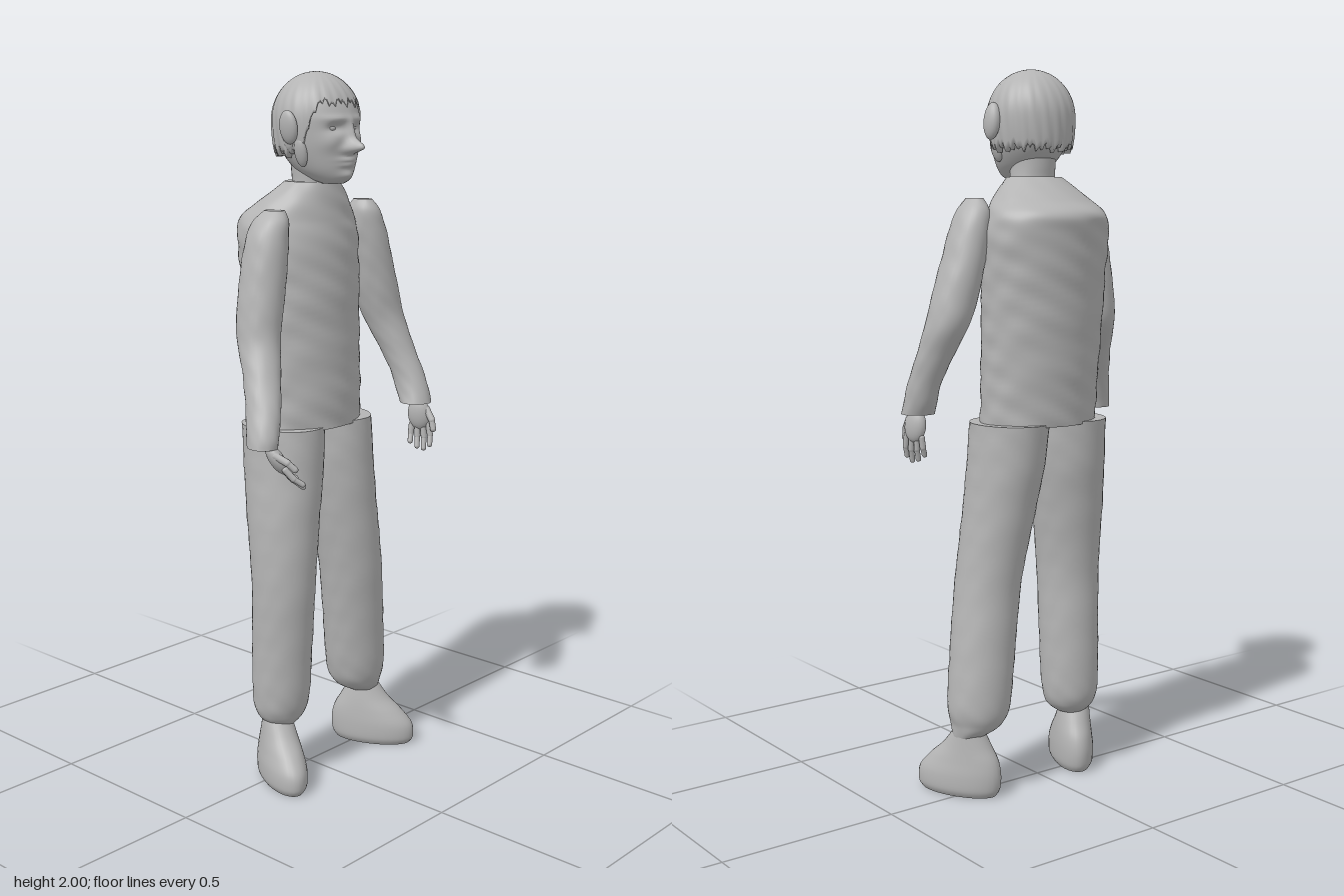
import * as THREE from 'three';

const clay = new THREE.MeshStandardMaterial({ color: 0xb4b4b4 });
clay.name = 'plain grey';
const clayOpen = new THREE.MeshStandardMaterial({ color: 0xb4b4b4, side: THREE.DoubleSide });
clayOpen.name = 'plain grey';

// Smooth blend through cross-sections [y, xMin, xMax, zMin, zMax]
function sectionAt(rows, t) {
  const i = Math.min(Math.floor(t), rows.length - 2), f = t - i;
  const row = (k) => rows[Math.max(0, Math.min(rows.length - 1, k))];
  return rows[i].map((b, c) => {
    const a = row(i - 1)[c], d = row(i + 1)[c], e = row(i + 2)[c];
    return b + 0.5 * f * (d - a + f * (2 * a - 5 * b + 4 * d - e + f * (3 * (b - d) + e - a)));
  });
}

// Closed body of horizontal oval rings, bottom to top; warp(p) may move each point
function loft(name, rows, { seg = 32, steps = 6, warp = null, yaw = 0 } = {}) {
  const pos = [], idx = [], p = new THREE.Vector3();
  const count = (rows.length - 1) * steps + 1;
  const addRing = (t) => {
    const [y, x0, x1, z0, z1] = sectionAt(rows, t);
    for (let j = 0; j < seg; j++) {
      const a = (j / seg) * Math.PI * 2;
      p.set((x1 - x0) / 2 * Math.sin(a), y, (z1 - z0) / 2 * Math.cos(a));
      if (yaw) p.applyAxisAngle(THREE.Object3D.DEFAULT_UP, yaw);
      p.x += (x0 + x1) / 2;
      p.z += (z0 + z1) / 2;
      if (warp) warp(p, a);
      pos.push(p.x, p.y, p.z);
    }
  };
  for (let i = 0; i < count; i++) addRing(i / steps);
  for (let i = 0; i < count - 1; i++) for (let j = 0; j < seg; j++) {
    const a = i * seg + j, b = i * seg + (j + 1) % seg;
    idx.push(a, b, b + seg, a, b + seg, a + seg);
  }
  // Flat end caps with their own rings
  for (const top of [false, true]) {
    const r = pos.length / 3;
    addRing(top ? rows.length - 1 : 0);
    const s = rows[top ? rows.length - 1 : 0];
    pos.push((s[1] + s[2]) / 2, s[0], (s[3] + s[4]) / 2);
    for (let j = 0; j < seg; j++) {
      const a = r + j, b = r + (j + 1) % seg;
      idx.push(r + seg, top ? a : b, top ? b : a);
    }
  }
  return finish(name, pos, idx, clay);
}

function finish(name, pos, idx, material) {
  const g = new THREE.BufferGeometry();
  g.setAttribute('position', new THREE.Float32BufferAttribute(pos, 3));
  g.setIndex(idx);
  g.computeVertexNormals();
  const m = new THREE.Mesh(g, material);
  m.name = name;
  return m;
}

function ball(name, center, size, tilt = [0, 0, 0]) {
  const m = new THREE.Mesh(new THREE.SphereGeometry(1, 20, 14), clay);
  m.name = name;
  m.position.set(...center);
  m.scale.set(...size);
  m.rotation.set(...tilt);
  return m;
}

// Finger through a few points
function finger(points, r) {
  const g = new THREE.Group();
  g.name = 'finger';
  const v = points.map((q) => new THREE.Vector3(...q));
  for (let i = 0; i < v.length - 1; i++) {
    const d = v[i + 1].clone().sub(v[i]);
    const m = new THREE.Mesh(new THREE.CapsuleGeometry(r * (1 - 0.12 * i), d.length(), 4, 10), clay);
    m.position.copy(v[i]).addScaledVector(d, 0.5);
    m.quaternion.setFromUnitVectors(THREE.Object3D.DEFAULT_UP, d.normalize());
    m.name = 'fingerJoint';
    g.add(m);
  }
  return g;
}

// Hand hanging from the wrist; side is +1 for the left, -1 for the right
function hand(name, wrist, side, turn) {
  const g = new THREE.Group();
  g.name = name;
  g.add(ball('palm', [0, -0.045, 0], [0.02, 0.047, 0.034]));
  for (let i = 0; i < 4; i++) {
    const z = 0.026 - i * 0.017, len = [0.055, 0.066, 0.06, 0.045][i];
    g.add(finger([[0, -0.075, z], [-side * 0.005, -0.08 - len * 0.5, z * 1.15],
      [-side * 0.016, -0.078 - len, z * 1.15]], 0.0088));
  }
  g.add(finger([[0, -0.03, 0.024], [-side * 0.014, -0.06, 0.042], [-side * 0.02, -0.085, 0.046]], 0.01));
  g.position.set(...wrist);
  g.rotation.set(...turn);
  return g;
}

// Shallow creases in cloth
const creases = (amount) => (p, a) => {
  const w = Math.sin(p.y * 62 + 3 * Math.sin(a * 2)) * Math.sin(a * 5 + p.y * 17)
    + 0.6 * Math.sin(p.y * 95 + a * 7);
  p.x += amount * w * Math.sin(a);
  p.z += amount * w * Math.cos(a);
};

// Face relief: [x, y, width, height, depth]
const relief = [
  [0, 1.806, 0.015, 0.017, 0.042], [0, 1.84, 0.011, 0.03, 0.016], [0, 1.797, 0.026, 0.01, 0.012],
  [-0.04, 1.852, 0.022, 0.013, -0.014], [0.04, 1.852, 0.022, 0.013, -0.014],
  [-0.04, 1.877, 0.032, 0.009, 0.006], [0.04, 1.877, 0.032, 0.009, 0.006],
  [0, 1.77, 0.028, 0.006, 0.011], [0, 1.757, 0.024, 0.006, 0.01], [0, 1.727, 0.026, 0.013, 0.01],
  [-0.058, 1.815, 0.022, 0.022, 0.007], [0.058, 1.815, 0.022, 0.022, 0.007],
];
function faceWarp(p, a) {
  if (Math.cos(a) <= 0.1) return;
  for (const [x, y, w, h, d] of relief) p.z += d * Math.exp(-(((p.x - x) / w) ** 2) - ((p.y - y) / h) ** 2);
}

// Hair shell with a ragged hairline, high over the face and low at the sides and back
function hairShell() {
  const pos = [], idx = [], seg = 120, rings = 26;
  for (let i = 0; i <= rings; i++) for (let j = 0; j < seg; j++) {
    const a = (j / seg) * Math.PI * 2, away = Math.min(a, Math.PI * 2 - a);
    const rag = 0.008 * Math.sin(j * 2.1) + 0.006 * Math.sin(j * 0.83);
    const edge = 1.918 + rag - 0.13 * THREE.MathUtils.smoothstep(away, 0.75, 1.25);
    const t = Math.min(i / (rings - 1), 1);
    const y = 2.0 - (2.0 - edge) * t * t;
    const k = (y - 1.872) / 0.128;
    let r = Math.sqrt(Math.max(0, 1 - (k > 0 ? k * k : 0.3 * k * k)));
    r *= 1 + 0.012 * Math.sin(a * 23 + y * 30) * t;
    if (i === rings) r *= 0.84;
    pos.push(0.003 + 0.122 * r * Math.sin(a), y, 0.025 + 0.121 * r * Math.cos(a));
  }
  for (let i = 0; i < rings; i++) for (let j = 0; j < seg; j++) {
    const a = i * seg + j, b = i * seg + (j + 1) % seg;
    idx.push(a, a + seg, b + seg, a, b + seg, b);
  }
  return finish('hair', pos, idx, clayOpen);
}

export function createModel() {
  const model = new THREE.Group();
  model.name = 'standingFigure';

  // Torso with a sloped yoke
  model.add(loft('torso', [
    [1.035, -0.17, 0.186, -0.14, 0.112], [1.15, -0.172, 0.186, -0.15, 0.113],
    [1.3, -0.178, 0.188, -0.163, 0.11], [1.45, -0.182, 0.192, -0.178, 0.108],
    [1.56, -0.182, 0.195, -0.192, 0.1], [1.61, -0.168, 0.182, -0.192, 0.092],
    [1.645, -0.142, 0.158, -0.145, 0.086], [1.68, -0.108, 0.122, -0.1, 0.08],
    [1.71, -0.075, 0.085, -0.062, 0.075],
  ], { seg: 64, steps: 10, warp: creases(0.0017) }));

  // Trouser legs
  const leg = { seg: 40, steps: 8, warp: creases(0.0008) };
  model.add(loft('rightLeg', [
    [0.17, -0.17, -0.085, -0.04, 0.05], [0.2, -0.195, -0.05, -0.065, 0.07],
    [0.26, -0.206, -0.038, -0.077, 0.085], [0.42, -0.21, -0.036, -0.076, 0.097],
    [0.6, -0.214, -0.034, -0.075, 0.11], [0.78, -0.212, -0.014, -0.1, 0.113],
    [0.92, -0.202, 0.006, -0.125, 0.114], [1.042, -0.195, 0.014, -0.14, 0.112],
  ], leg));
  model.add(loft('leftLeg', [
    [0.17, 0.185, 0.285, -0.04, 0.05], [0.2, 0.14, 0.288, -0.07, 0.07],
    [0.26, 0.115, 0.297, -0.085, 0.085], [0.42, 0.092, 0.28, -0.08, 0.097],
    [0.6, 0.066, 0.255, -0.077, 0.11], [0.78, 0.034, 0.232, -0.1, 0.113],
    [0.92, 0.014, 0.219, -0.125, 0.114], [1.042, 0.006, 0.211, -0.14, 0.112],
  ], leg));

  // Shoes, toes turned out
  const shoe = (name, x, side) => loft(name, [
    [0, x + side * 0.012 - 0.05, x + side * 0.012 + 0.05, -0.08, 0.15],
    [0.02, x + side * 0.012 - 0.06, x + side * 0.012 + 0.06, -0.092, 0.162],
    [0.06, x + side * 0.01 - 0.061, x + side * 0.01 + 0.061, -0.095, 0.158],
    [0.1, x + side * 0.004 - 0.056, x + side * 0.004 + 0.056, -0.085, 0.126],
    [0.14, x - 0.05, x + 0.05, -0.062, 0.082], [0.19, x - 0.042, x + 0.042, -0.036, 0.042],
  ], { yaw: side * 0.45 });
  model.add(shoe('rightShoe', -0.14, -1), shoe('leftShoe', 0.24, 1));

  // Sleeves, bent forward at the elbow
  const sleeve = { seg: 32, steps: 8, warp: creases(0.0008) };
  model.add(loft('rightArm', [
    [1.038, -0.366, -0.288, 0.095, 0.18], [1.07, -0.36, -0.28, 0.085, 0.178],
    [1.14, -0.338, -0.25, 0.058, 0.158], [1.22, -0.312, -0.212, 0.02, 0.125],
    [1.3, -0.292, -0.18, -0.025, 0.098], [1.38, -0.282, -0.16, -0.037, 0.092],
    [1.48, -0.264, -0.143, -0.04, 0.09], [1.56, -0.246, -0.136, -0.036, 0.086],
    [1.61, -0.222, -0.134, -0.025, 0.08], [1.64, -0.19, -0.142, 0.0, 0.06],
  ], sleeve));
  model.add(loft('leftArm', [
    [1.065, 0.26, 0.354, 0.095, 0.185], [1.1, 0.266, 0.354, 0.075, 0.175],
    [1.16, 0.264, 0.352, 0.05, 0.152], [1.23, 0.248, 0.348, 0.015, 0.122],
    [1.31, 0.222, 0.34, -0.025, 0.098], [1.39, 0.196, 0.322, -0.037, 0.092],
    [1.49, 0.174, 0.29, -0.04, 0.09], [1.57, 0.16, 0.263, -0.036, 0.086],
    [1.62, 0.158, 0.238, -0.025, 0.08], [1.652, 0.172, 0.212, 0.0, 0.06],
  ], sleeve));

  // Hands
  model.add(hand('rightHand', [-0.322, 1.045, 0.15], -1, [-0.12, -0.6, 0.5]));
  model.add(hand('leftHand', [0.305, 1.075, 0.15], 1, [-0.08, 0.35, 0.1]));

  // Neck and head
  model.add(loft('neck', [
    [1.65, -0.068, 0.078, -0.05, 0.073], [1.7, -0.06, 0.07, -0.042, 0.075],
    [1.74, -0.06, 0.066, -0.045, 0.08], [1.79, -0.062, 0.066, -0.05, 0.08],
  ]));
  model.add(loft('head', [
    [1.706, -0.03, 0.032, 0.06, 0.118], [1.718, -0.05, 0.052, 0.02, 0.134],
    [1.745, -0.074, 0.076, -0.03, 0.144], [1.79, -0.094, 0.098, -0.07, 0.148],
    [1.84, -0.104, 0.108, -0.086, 0.15], [1.89, -0.107, 0.111, -0.088, 0.146],
    [1.94, -0.096, 0.1, -0.07, 0.122], [1.98, -0.05, 0.054, -0.025, 0.072],
  ], { seg: 96, steps: 10, warp: faceWarp }));
  for (const side of [-1, 1]) {
    model.add(ball('eye', [side * 0.04, 1.852, 0.12], [0.014, 0.009, 0.01]));
    model.add(ball('ear', [side * 0.107, 1.825, 0.03], [0.012, 0.032, 0.02], [0, side * 0.2, 0]));
  }

  // Hair and side locks
  model.add(hairShell());
  model.add(ball('rightLock', [-0.122, 1.855, 0.04], [0.016, 0.045, 0.03], [0, 0, 0.15]));
  model.add(ball('leftLock', [0.132, 1.858, 0.03], [0.02, 0.05, 0.028], [0, 0, 0.1]));
  for (const side of [-1, 1]) {
    model.add(ball('sideburn', [side * 0.096, 1.79, 0.06], [0.013, 0.04, 0.02], [0, 0, side * -0.25]));
  }
  return model;
}
